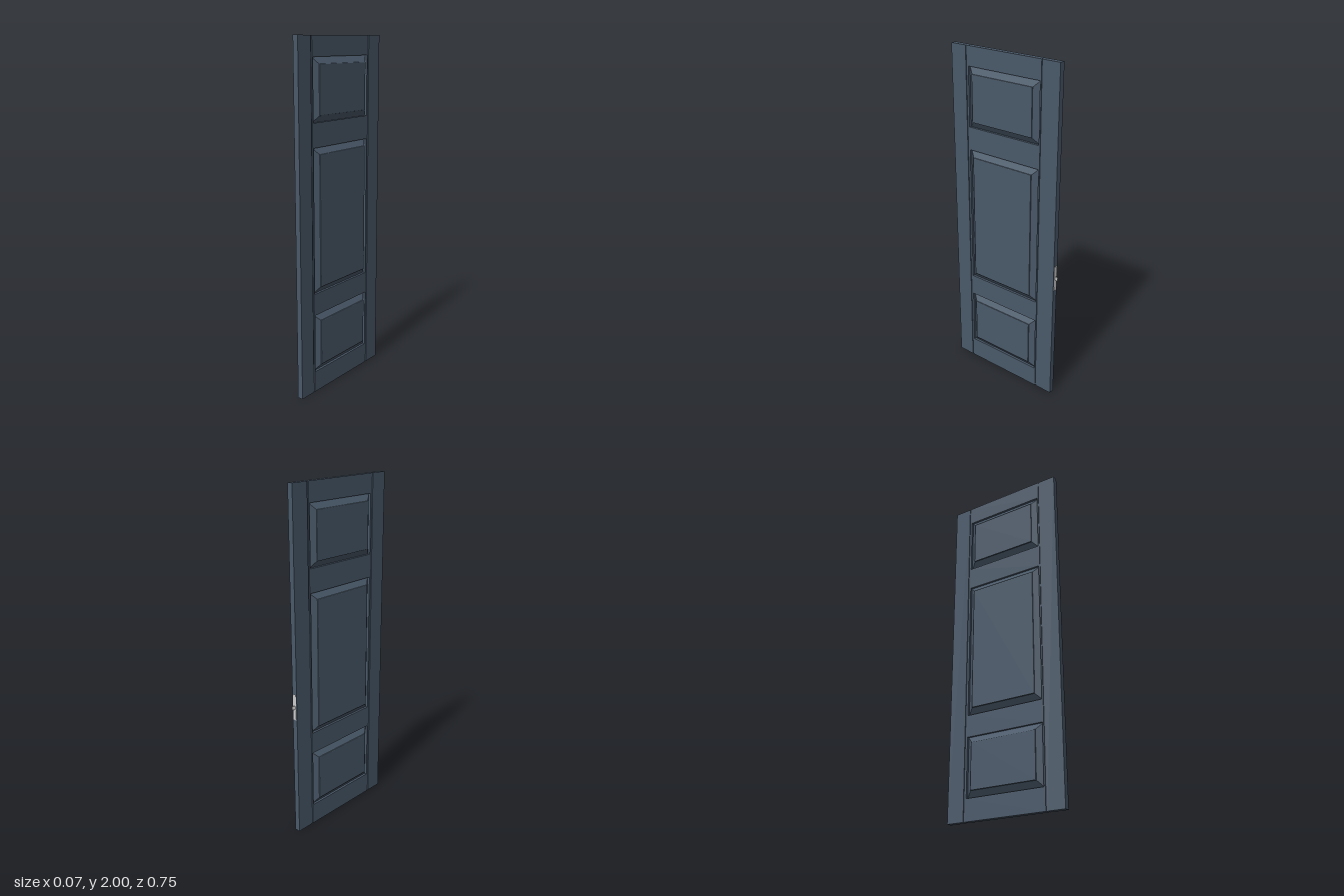
import * as THREE from 'three';

const paint = new THREE.MeshStandardMaterial({ color: 0x4a5969, flatShading: true });
const metal = new THREE.MeshStandardMaterial({ color: 0xcccccc, flatShading: true });

const MID = 0.009;                 // z of the panel column's centre
const HALF = 0.016;                // half thickness of the frame
const Z0 = -0.356, Z1 = 0.371;     // door edges
const G0 = -0.246, G1 = 0.264;     // groove centres
const GAP = 0.0045;                // half width of a groove
const OPEN = 0.242;                // half width of the panel openings
const PANELS = [[0.124, 0.466], [0.593, 1.414], [1.548, 1.89]];

function add(parent, name, geometry, material = paint) {
  const mesh = new THREE.Mesh(geometry, material);
  mesh.name = name;
  parent.add(mesh);
  return mesh;
}

// Solid through rectangles stacked along x; profile holds [x, inset]
function panelGeometry(halfHeight, halfWidth, profile) {
  const rings = profile.map(([x, inset]) => {
    const h = halfHeight - inset, w = halfWidth - inset;
    return [[x, -h, -w], [x, h, -w], [x, h, w], [x, -h, w]];
  });
  const pos = [];
  const quad = (a, b, c, d) => pos.push(...a, ...b, ...c, ...a, ...c, ...d);
  for (let i = 0; i < rings.length - 1; i++) {
    const r = rings[i], s = rings[i + 1];
    for (let k = 0; k < 4; k++) {
      const n = (k + 1) % 4;
      quad(r[k], r[n], s[n], s[k]);
    }
  }
  quad(...rings[rings.length - 1]);
  quad(...[...rings[0]].reverse());
  const geometry = new THREE.BufferGeometry();
  geometry.setAttribute('position', new THREE.Float32BufferAttribute(pos, 3));
  geometry.computeVertexNormals();
  return geometry;
}

export function createModel() {
  const door = new THREE.Group();
  door.name = 'door';

  // Vertical stiles on both edges, and the tongues at the bottom of the grooves
  for (const [name, a, b] of [['backStile', Z0, G0 - GAP], ['frontStile', G1 + GAP, Z1]]) {
    add(door, name, new THREE.BoxGeometry(2 * HALF, 2, b - a)).position.set(0, 1, (a + b) / 2);
  }
  for (const z of [G0, G1]) {
    add(door, 'grooveFloor', new THREE.BoxGeometry(0.022, 2, 2 * GAP)).position.set(0, 1, z);
  }

  // Rails: one board with three openings, drawn in (-z, y) and extruded through x
  const a = -(G1 - GAP), b = -(G0 + GAP);
  const board = new THREE.Shape([[a, 0], [b, 0], [b, 2], [a, 2]].map(p => new THREE.Vector2(...p)));
  for (const [y0, y1] of PANELS) {
    const l = -MID - OPEN, r = -MID + OPEN;
    board.holes.push(new THREE.Path([[l, y0], [l, y1], [r, y1], [r, y0]].map(p => new THREE.Vector2(...p))));
  }
  const rails = new THREE.ExtrudeGeometry(board, { depth: 2 * HALF, bevelEnabled: false });
  rails.translate(0, 0, -HALF).rotateY(Math.PI / 2);
  add(door, 'rails', rails);

  // Raised panels: long bevel, short step, flat field on both faces
  const side = [[0.002, 0], [0.027, 0.036], [0.0315, 0.037], [0.033, 0.0395]];
  const profile = [...side.map(([x, i]) => [-x, i]).reverse(), ...side];
  for (const [y0, y1] of PANELS) {
    add(door, 'raisedPanel', panelGeometry((y1 - y0) / 2, OPEN, profile)).position.set(0, (y0 + y1) / 2, MID);
  }

  // Lock plate and wedge-shaped latch on the back edge
  const lock = new THREE.Group();
  lock.name = 'lock';
  lock.position.set(0, 0.79, Z0);
  door.add(lock);
  add(lock, 'lockPlate', new THREE.BoxGeometry(0.022, 0.15, 0.003), metal);
  const wedge = new THREE.Shape([[-0.006, 0], [0.004, 0], [0.004, 0.019], [0.002, 0.019]].map(p => new THREE.Vector2(...p)));
  const latch = new THREE.ExtrudeGeometry(wedge, { depth: 0.02, bevelEnabled: false });
  latch.translate(0, 0, -0.01).rotateX(-Math.PI / 2);
  add(lock, 'latch', latch, metal);

  return door;
}
